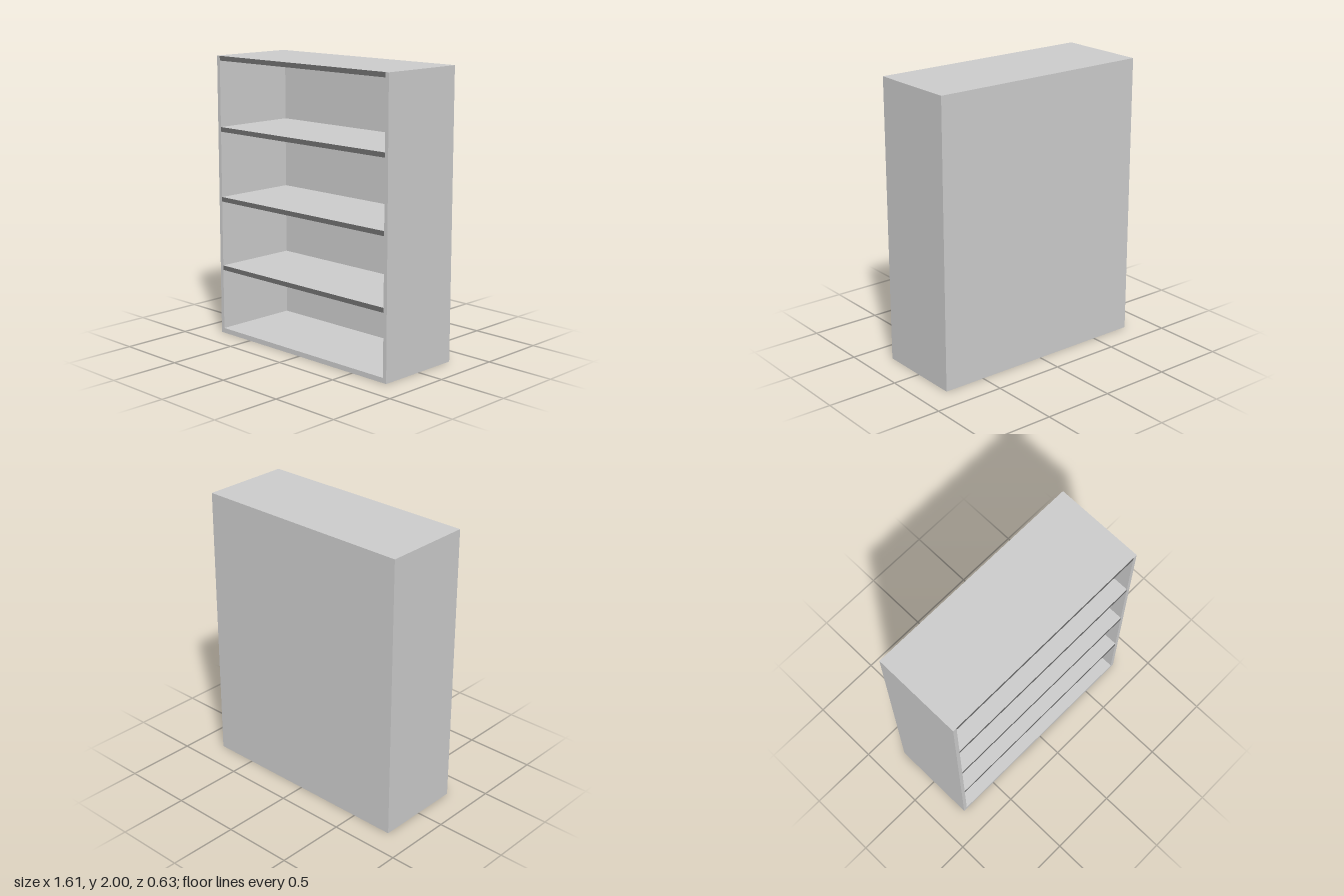
import * as THREE from 'three';

const W = 1.606, H = 2, D = 0.634; // outer size
const T = 0.028;                   // side thickness
const BACK = 0.01;                 // back thickness
const BOARD = 0.033;               // shelf thickness

export function createModel() {
  const group = new THREE.Group();
  const body = new THREE.MeshStandardMaterial({ color: 0xcccccc });
  body.name = 'light grey board';
  const edge = new THREE.MeshStandardMaterial({ color: 0x6f6f6f });
  edge.name = 'dark grey edge';

  const board = (name, w, h, d, x, y, z, material = body) => {
    const mesh = new THREE.Mesh(new THREE.BoxGeometry(w, h, d), material);
    mesh.name = name;
    mesh.position.set(x, y, z);
    group.add(mesh);
  };

  // Carcass: two sides, base and back
  const inner = W - 2 * T;
  board('leftSide', T, H, D, (W - T) / 2, H / 2, 0);
  board('rightSide', T, H, D, -(W - T) / 2, H / 2, 0);
  board('base', inner, 0.035, D, 0, 0.0175, 0);
  board('backPanel', inner, H - 0.035, BACK, 0, (H + 0.035) / 2, -(D - BACK) / 2);

  // Shelves and top board, each with a dark front edge
  const shelfMaterials = [body, body, body, body, edge, body];
  for (let i = 1; i <= 4; i++) {
    const top = i * 0.5 + (i < 4 ? 0.002 : 0);
    board(i < 4 ? `shelf${i}` : 'topBoard', inner, BOARD, D - BACK,
      0, top - BOARD / 2, BACK / 2, shelfMaterials);
  }
  return group;
}
